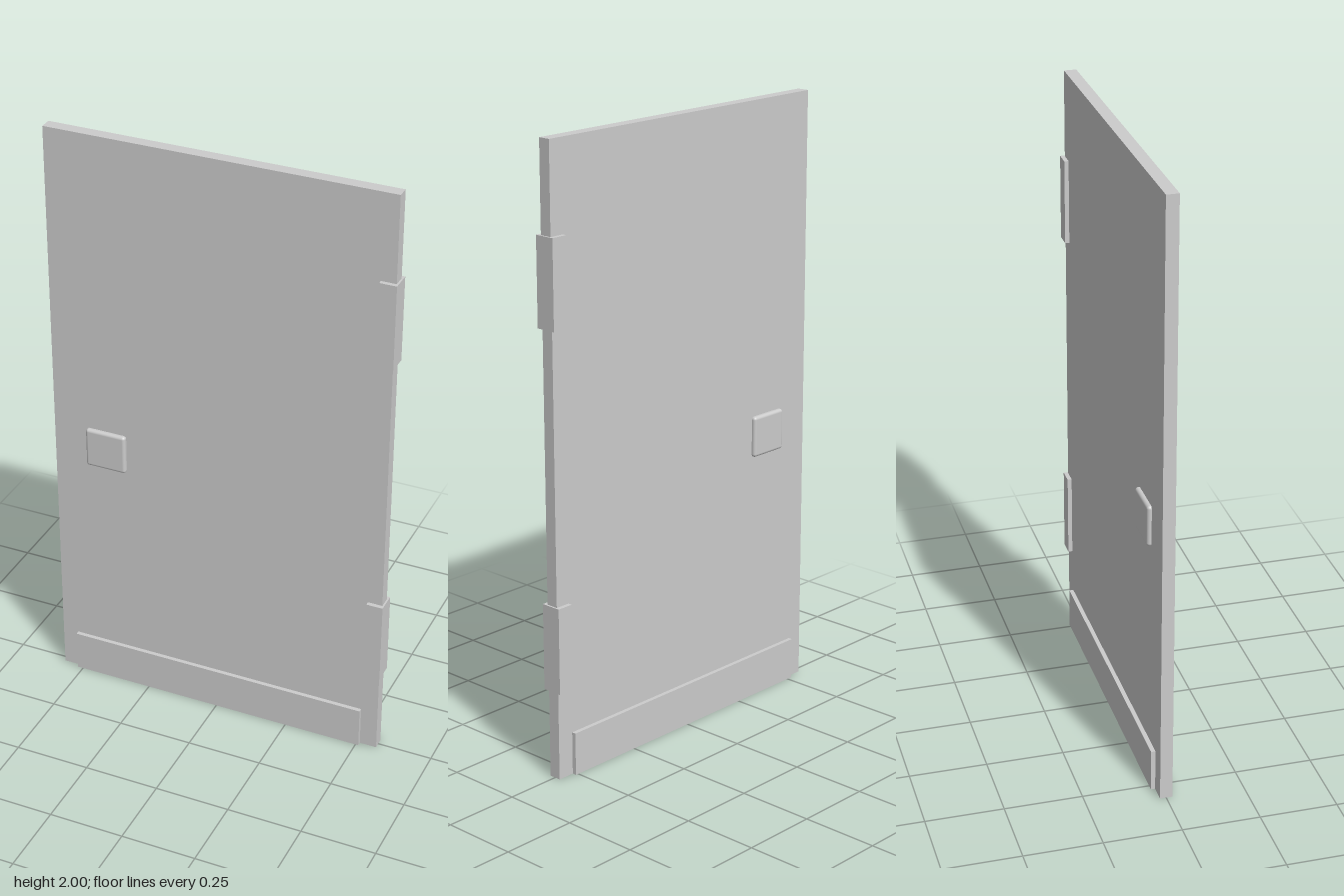
import * as THREE from 'three';
import { RoundedBoxGeometry } from 'three/addons/geometries/RoundedBoxGeometry.js';

// One centre per fracture cell; every shard is the area nearest its centre.
const SEEDS = [
  [-0.55, 1.72], [-0.07, 1.69], [0.174, 1.846], [0.32, 1.75], [0.47, 1.76], [0.5, 1.55],
  [0.176, 1.5], [0.343, 1.428], [-0.2, 1.34], [-0.48, 1.33], [-0.33, 1.1], [-0.12, 1.02],
  [0.16, 1.1], [0.3, 0.83], [0.08, 0.45], [-0.03, 0.69], [-0.27, 0.69], [-0.4, 0.88],
  [-0.53, 0.9], [-0.53, 1.12], [-0.36, 0.42], [-0.33, 0.09], [-0.55, 0.15], [-0.02, 0.12],
  [0.2, 0.06], [0.4, 0.27], [0.45, 0.5], [0.54, 0.26], [0.53, 0.07],
];

const material = new THREE.MeshStandardMaterial({ color: 0xcccccc });

// Keep the part of a polygon that is nearer to a than to b.
function clip(poly, a, b) {
  const nx = b[0] - a[0], ny = b[1] - a[1];
  const side = (p) => (p[0] - (a[0] + b[0]) / 2) * nx + (p[1] - (a[1] + b[1]) / 2) * ny;
  const out = [];
  poly.forEach((p, i) => {
    const q = poly[(i + 1) % poly.length];
    const dp = side(p), dq = side(q);
    if (dp <= 0) out.push(p);
    if (dp * dq < 0) {
      const t = dp / (dp - dq);
      out.push([p[0] + (q[0] - p[0]) * t, p[1] + (q[1] - p[1]) * t]);
    }
  });
  return out;
}

// A rectangular slab split into tightly fitting shards.
function fracturedSlab(name, x0, x1, y0, y1, halfDepth) {
  const slab = new THREE.Group();
  slab.name = name;
  for (const seed of SEEDS) {
    let poly = [[x0, y0], [x1, y0], [x1, y1], [x0, y1]];
    for (const other of SEEDS) if (other !== seed) poly = clip(poly, seed, other);
    if (poly.length < 3) continue;
    const shape = new THREE.Shape(poly.map(([x, y]) => new THREE.Vector2(x, y)));
    const geometry = new THREE.ExtrudeGeometry(shape, { depth: halfDepth * 2, bevelEnabled: false });
    geometry.translate(0, 0, -halfDepth);
    const shard = new THREE.Mesh(geometry, material);
    shard.name = `${name}Shard`;
    slab.add(shard);
  }
  return slab;
}

export function createModel() {
  const door = new THREE.Group();
  door.name = 'crackedDoor';

  // Door leaf
  door.add(fracturedSlab('panel', -0.575, 0.567, 0, 2, 0.02));

  // Kick plate wrapping both faces
  door.add(fracturedSlab('kickPlate', -0.52, 0.51, 0, 0.14, 0.034));

  // Hinges on the left edge
  for (const [name, y] of [['lowerHinge', 0.29], ['upperHinge', 1.435]]) {
    door.add(fracturedSlab(name, 0.518, 0.573, y, y + 0.28, 0.034));
  }

  // Square handle passing through the leaf
  const handle = new THREE.Mesh(new RoundedBoxGeometry(0.14, 0.136, 0.068, 3, 0.01), material);
  handle.name = 'handle';
  handle.position.set(-0.39, 0.903, 0);
  door.add(handle);

  return door;
}
